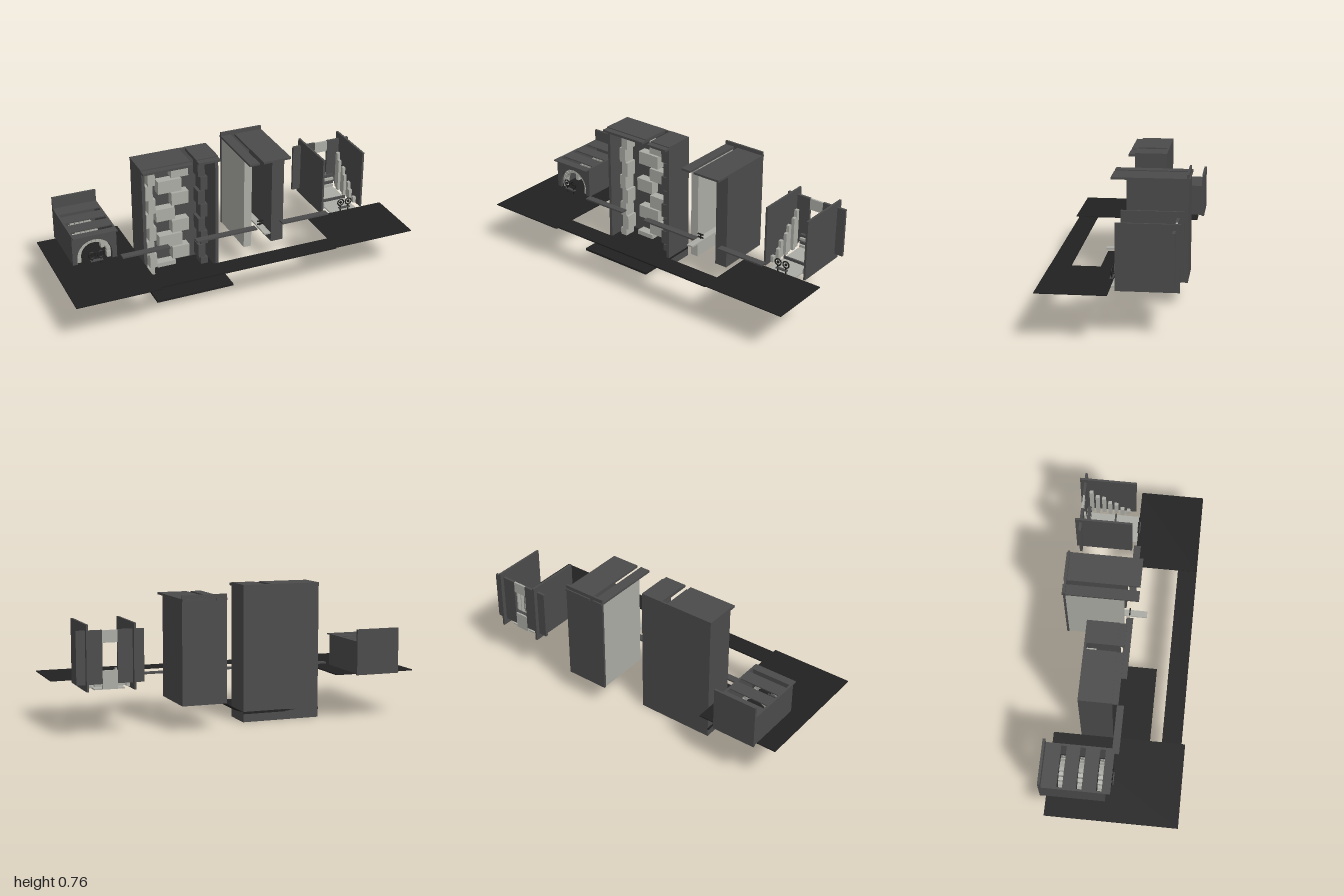
import * as THREE from 'three';

export function createModel() {
  const model = new THREE.Group();
  const mat = (name, color) => {
    const m = new THREE.MeshStandardMaterial({ color });
    m.name = name;
    return m;
  };
  const dark = mat('dark grey', 0x4b4b4b);
  const black = mat('black', 0x212121);
  const light = mat('stone grey', 0xacaca6);

  const group = (name) => {
    const g = new THREE.Group();
    g.name = name;
    model.add(g);
    return g;
  };
  // box given by its limits on each axis
  const box = (g, name, m, x0, x1, y0, y1, z0, z1) => {
    const b = new THREE.Mesh(new THREE.BoxGeometry(x1 - x0, y1 - y0, z1 - z0), m);
    b.position.set((x0 + x1) / 2, (y0 + y1) / 2, (z0 + z1) / 2);
    b.name = name;
    g.add(b);
    return b;
  };

  // Floors and the bridges between the rooms
  const floors = group('floors');
  box(floors, 'archRoomFloor', black, -1, -0.525, 0.257, 0.263, -0.35, 0.385);
  box(floors, 'walkway', black, -0.525, 0.52, 0.253, 0.261, 0.255, 0.365);
  box(floors, 'walkwayRib', black, -0.98, -0.525, 0.252, 0.257, 0.26, 0.37);
  box(floors, 'openRoomFloor', black, 0.52, 1, 0.258, 0.263, 0, 0.365);
  box(floors, 'shaftLedge', black, -0.485, -0.03, 0.045, 0.058, -0.205, 0.187);
  for (const [a, b] of [[-0.62, -0.34], [-0.18, 0.19], [0.35, 0.645]])
    box(floors, 'bridge', dark, a, b, 0.269, 0.278, -0.015, 0.025);

  // Pair of round dials on a small stand
  const dials = (g, cx) => {
    box(g, 'dialBase', dark, cx - 0.035, cx + 0.035, 0.282, 0.288, -0.005, 0.012);
    for (const s of [-1, 1]) {
      const ring = new THREE.Mesh(new THREE.TorusGeometry(0.019, 0.004, 6, 20), black);
      ring.position.set(cx + s * 0.025, 0.32, 0.003);
      ring.name = 'dialRing';
      const hub = new THREE.Mesh(new THREE.CylinderGeometry(0.008, 0.008, 0.006, 12), black);
      hub.rotation.x = Math.PI / 2;
      hub.position.copy(ring.position);
      hub.name = 'dialHub';
      g.add(ring, hub);
      box(g, 'dialStand', black, cx + s * 0.025 - 0.003, cx + s * 0.025 + 0.003, 0.263, 0.3, 0, 0.006);
    }
  };

  // Arch room: walls, slotted roof and three stone arches
  const arch = group('archRoom');
  const ax = -0.763;
  const wall = new THREE.Shape();
  wall.moveTo(-0.127, 0.262).lineTo(-0.1, 0.262).lineTo(-0.1, 0.3);
  wall.absarc(0, 0.3, 0.1, Math.PI, 0, true);
  wall.lineTo(0.1, 0.262).lineTo(0.127, 0.262).lineTo(0.127, 0.437).lineTo(-0.127, 0.437);
  const front = new THREE.Mesh(
    new THREE.ExtrudeGeometry(wall, { depth: 0.012, bevelEnabled: false, curveSegments: 16 }), dark);
  front.position.set(ax, 0, -0.037);
  front.name = 'archedFrontWall';
  arch.add(front);
  box(arch, 'sideWall', dark, -0.89, -0.878, 0.262, 0.437, -0.37, -0.025);
  box(arch, 'sideWall', dark, -0.648, -0.636, 0.262, 0.437, -0.37, -0.025);
  box(arch, 'backWall', dark, -0.89, -0.636, 0.255, 0.51, -0.384, -0.37);
  for (const [a, b] of [[-0.37, -0.285], [-0.255, -0.18], [-0.15, -0.072], [-0.042, 0.005]])
    box(arch, 'roofSlab', dark, -0.89, -0.636, 0.437, 0.443, a, b);
  for (const x of [-0.89, -0.648])
    box(arch, 'roofRail', dark, x, x + 0.012, 0.437, 0.443, -0.37, 0.005);
  for (const z of [-0.27, -0.165, -0.055]) {
    for (let i = 0; i < 11; i++) {
      const t = Math.PI * (i + 0.5) / 11;
      const s = new THREE.Mesh(new THREE.BoxGeometry(0.022, 0.021, 0.03), light);
      s.position.set(ax + Math.cos(t) * 0.085, 0.3 + Math.sin(t) * 0.085, z);
      s.rotation.z = t;
      s.name = 'archStone';
      arch.add(s);
    }
    for (const s of [-1, 1])
      box(arch, 'archFoot', light, ax + s * 0.085 - 0.011, ax + s * 0.085 + 0.011, 0.263, 0.297, z - 0.015, z + 0.015);
  }
  dials(arch, ax);

  // Tall shaft with staggered stones
  const shaft = group('stoneShaft');
  box(shaft, 'leftWall', dark, -0.48, -0.462, 0, 0.742, -0.205, -0.025);
  box(shaft, 'rightWall', dark, -0.048, -0.03, 0, 0.742, -0.205, -0.025);
  box(shaft, 'backWall', dark, -0.48, -0.03, 0, 0.76, -0.205, -0.193);
  box(shaft, 'roofLeft', dark, -0.483, -0.195, 0.742, 0.755, -0.205, 0.01);
  box(shaft, 'roofRight', dark, -0.16, -0.03, 0.742, 0.755, -0.205, 0.01);
  for (const [a, b] of [[-0.483, -0.195], [-0.16, -0.03]])
    box(shaft, 'roofTrim', dark, a, b, 0.755, 0.761, -0.205, -0.025);
  const middle = [[-0.265, -0.163], [-0.345, -0.205], [-0.265, -0.163], [-0.36, -0.248]];
  for (let i = 0; i < 8; i++) {
    const y = 0.615 - i * 0.0868;
    const d = (i % 2) * 0.015;
    const [a, b] = middle[i % 4];
    box(shaft, 'middleStone', light, a, b, y, y + 0.077, -0.193, -0.14);
    box(shaft, 'leftStone', light, -0.425 - d, -0.383 - d, y + 0.008, y + 0.095, -0.15, -0.08);
    box(shaft, 'rightStone', dark, -0.13 + d, -0.088 + d, y + 0.008, y + 0.09, -0.15, -0.08);
  }

  // Hanging cabinet with one pale wall and a plank
  const cab = group('cabinet');
  box(cab, 'paleWall', light, 0.128, 0.175, 0.143, 0.7, -0.343, -0.025);
  box(cab, 'rightWall', dark, 0.3, 0.375, 0.143, 0.7, -0.343, -0.025);
  box(cab, 'backWall', dark, 0.123, 0.375, 0.143, 0.733, -0.355, -0.343);
  box(cab, 'roofLeft', dark, 0.123, 0.183, 0.7, 0.712, -0.362, 0.06);
  box(cab, 'roofRight', dark, 0.207, 0.375, 0.7, 0.712, -0.362, 0.06);
  box(cab, 'plank', light, 0.198, 0.236, 0.275, 0.284, -0.343, 0.102);
  for (const y of [0.289, 0.308])
    box(cab, 'handle', black, 0.198, 0.236, y, y + 0.007, 0, 0.006);
  box(cab, 'handlePost', black, 0.214, 0.22, 0.284, 0.315, 0, 0.005);

  // Open room with thin walls, a window and rising posts
  const room = group('openRoom');
  for (const x of [0.625, 0.879])
    box(room, 'sideWall', dark, x, x + 0.012, 0.25, 0.6, -0.35, -0.025);
  box(room, 'backWall', dark, 0.575, 0.718, 0.285, 0.567, -0.327, -0.312);
  box(room, 'backWall', dark, 0.8, 0.94, 0.285, 0.567, -0.327, -0.312);
  box(room, 'windowHead', light, 0.718, 0.8, 0.5, 0.565, -0.325, -0.314);
  box(room, 'windowSill', light, 0.718, 0.8, 0.258, 0.355, -0.325, -0.314);
  box(room, 'paleFloor', light, 0.677, 0.842, 0.253, 0.26, -0.312, 0.058);
  for (let i = 0; i < 4; i++) {
    const y = 0.268 + i * 0.022;
    box(room, 'slat', i % 2 ? dark : light, 0.682, 0.838, y, y + 0.014, -0.305, -0.285);
  }
  box(room, 'floorBar', dark, 0.677, 0.842, 0.26, 0.275, -0.146, -0.136);
  for (let i = 0; i < 7; i++) {
    const z = -0.285 + i * 0.036;
    const d = (i % 2) * 0.009;
    for (const s of [-1, 1]) {
      const x = 0.758 + s * (0.104 - d);
      box(room, 'risingPost', light, x - 0.009, x + 0.009, 0.262, 0.49 - i * 0.032, z - 0.011, z + 0.011);
    }
  }
  dials(room, 0.76);

  return model;
}
